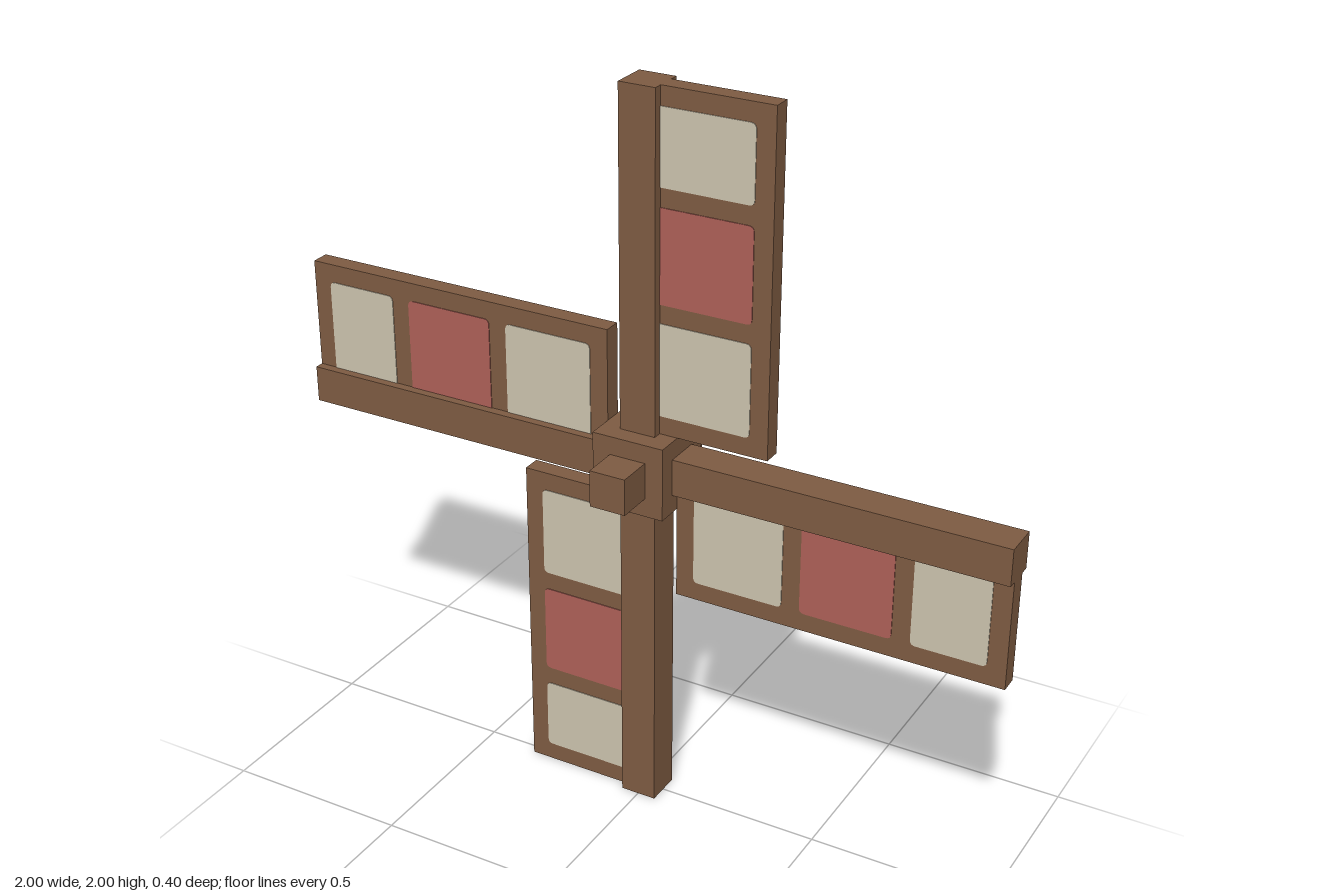
import * as THREE from 'three';

const wood = new THREE.MeshStandardMaterial({ name: 'brown wood', color: 0x7e5b42 });
const cream = new THREE.MeshStandardMaterial({ name: 'cream cloth', color: 0xccc3ae });
const red = new THREE.MeshStandardMaterial({ name: 'red cloth', color: 0xae6058 });

function box(name, w, h, d, x, y) {
  const mesh = new THREE.Mesh(new THREE.BoxGeometry(w, h, d), wood);
  mesh.name = name;
  mesh.position.set(x, y, 0);
  return mesh;
}

// Cloth panel showing on both faces of the frame; outer corners rounded
function cloth(y0, y1, material) {
  const x0 = 0.05, x1 = 0.3, r = 0.015;
  const s = new THREE.Shape();
  s.moveTo(x0, y0);
  s.lineTo(x1 - r, y0);
  s.quadraticCurveTo(x1, y0, x1, y0 + r);
  s.lineTo(x1, y1 - r);
  s.quadraticCurveTo(x1, y1, x1 - r, y1);
  s.lineTo(x0, y1);
  s.closePath();
  const group = new THREE.Group();
  group.name = 'clothPanel';
  const t = 0.002;
  for (const z of [0.025, -0.025 - t]) {
    const geometry = new THREE.ExtrudeGeometry(s, { depth: t, bevelEnabled: false, curveSegments: 4 });
    const mesh = new THREE.Mesh(geometry, material);
    mesh.name = 'clothFace';
    mesh.position.z = z;
    group.add(mesh);
  }
  return group;
}

// One sail pointing up from the hub
function sail() {
  const group = new THREE.Group();
  group.name = 'sail';
  group.add(box('spar', 0.1, 0.9, 0.1, 0, 0.55));
  group.add(box('sailFrame', 0.3, 0.9, 0.05, 0.2, 0.55));
  group.add(cloth(0.15, 0.4, cream), cloth(0.45, 0.7, red), cloth(0.75, 0.95, cream));
  return group;
}

export function createModel() {
  const model = new THREE.Group();
  model.name = 'windmillSails';
  const rotor = new THREE.Group();
  rotor.name = 'rotor';
  rotor.position.y = 1;

  // Hub and axle
  rotor.add(box('hub', 0.2, 0.2, 0.2, 0, 0));
  rotor.add(box('axle', 0.1, 0.1, 0.4, 0, 0));

  // Four sails, a quarter turn apart
  for (let i = 0; i < 4; i++) {
    const s = sail();
    s.rotation.z = -i * Math.PI / 2;
    rotor.add(s);
  }
  model.add(rotor);
  return model;
}
